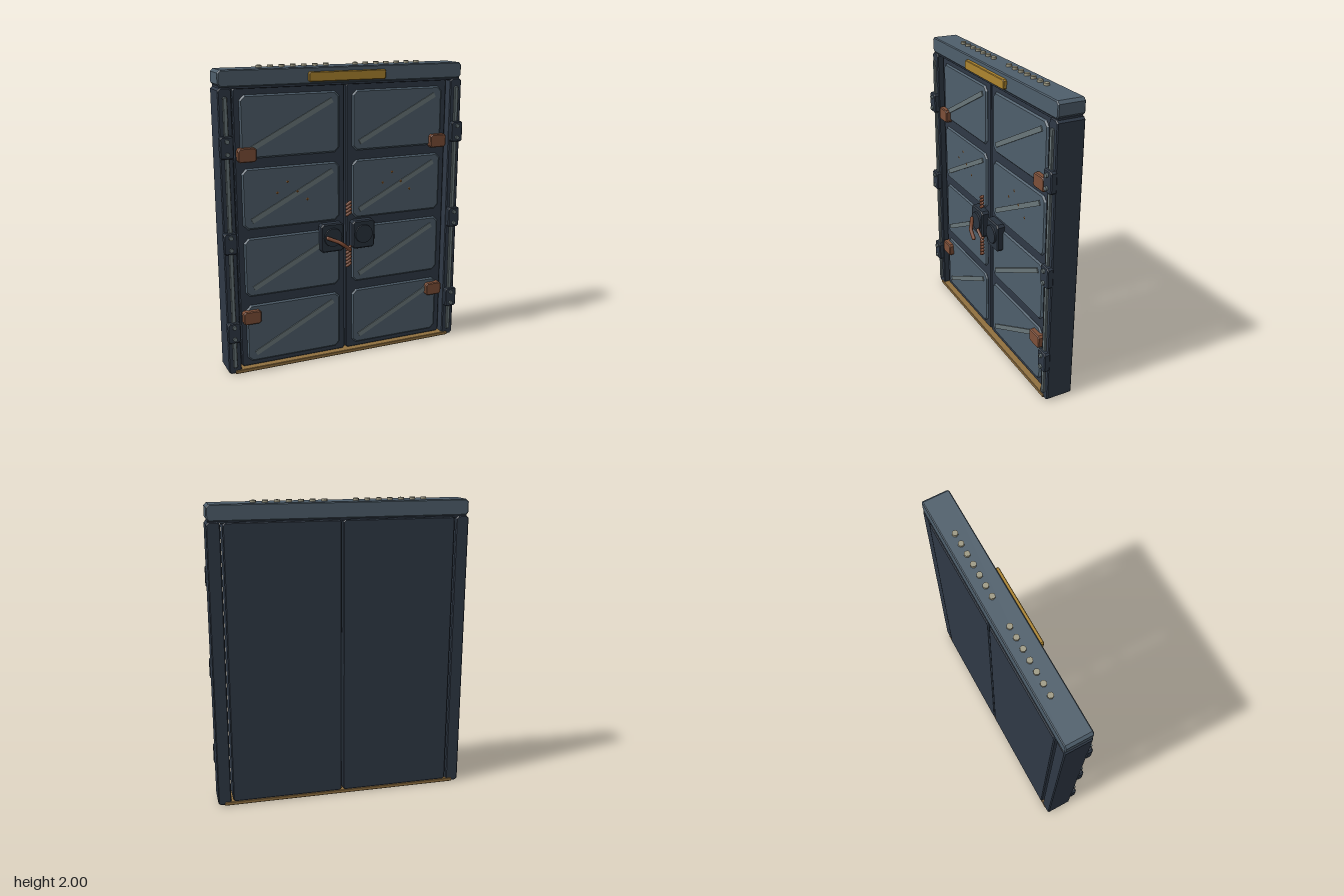
import * as THREE from 'three';

const mat = (name, color) => {
  const m = new THREE.MeshStandardMaterial({ color });
  m.name = name;
  return m;
};

// Rectangle outline with cut corners, centred on the origin
function cutRect(w, h, c) {
  const x = w / 2, y = h / 2;
  return new THREE.Shape([
    [-x + c, -y], [x - c, -y], [x, -y + c], [x, y - c],
    [x - c, y], [-x + c, y], [-x, y - c], [-x, -y + c],
  ].map(([a, b]) => new THREE.Vector2(a, b)));
}

// Chamfered slab given by its extents on each axis
function slab(name, material, [x0, x1], [y0, y1], [z0, z1], cut = 0.012, bevel = 0.006) {
  const w = x1 - x0, h = y1 - y0, d = z1 - z0;
  const geo = new THREE.ExtrudeGeometry(cutRect(w - 2 * bevel, h - 2 * bevel, cut), {
    depth: d - 2 * bevel, bevelEnabled: true, bevelSegments: 1,
    bevelSize: bevel, bevelThickness: bevel,
  });
  geo.translate((x0 + x1) / 2, (y0 + y1) / 2, z0 + bevel);
  const mesh = new THREE.Mesh(geo, material);
  mesh.name = name;
  return mesh;
}

export function createModel() {
  const model = new THREE.Group();
  model.name = 'armouredDoor';

  const frame = mat('dark slate', 0x2f3946);
  const panelBlue = mat('panel blue grey', 0x4e5e6b);
  const steel = mat('worn steel', 0x697679);
  const lockDark = mat('lock charcoal', 0x29323d);
  const boltTan = mat('pale bolt', 0x9e9a84);
  const gold = mat('sign gold', 0xad852f);
  const rust = mat('rust', 0x7d4f38);
  const ironRed = mat('chain rust', 0x74432d);
  const sillTan = mat('sill brown', 0x91703f);
  const fleck = mat('fleck orange', 0x92602f);

  // Header beam with its plate
  model.add(slab('header', panelBlue, [-0.845, 0.845], [1.882, 1.985], [-0.138, 0.038], 0.014, 0.006));
  model.add(slab('headerSeat', frame, [-0.835, 0.835], [1.868, 1.89], [-0.13, 0.03], 0.002, 0.002));
  model.add(slab('headerPlate', gold, [-0.267, 0.265], [1.896, 1.957], [0.03, 0.062], 0.006, 0.004));

  // Two rows of bolts along the header top
  const boltGeo = new THREE.CylinderGeometry(0.019, 0.019, 0.025, 8);
  for (const start of [-0.555, 0.1]) {
    for (let i = 0; i < 7; i++) {
      const bolt = new THREE.Mesh(boltGeo, boltTan);
      bolt.name = 'headerBolt';
      bolt.position.set(start + i * 0.075, 1.9875, -0.065);
      model.add(bolt);
    }
  }

  // Threshold
  model.add(slab('sill', sillTan, [-0.805, 0.805], [0, 0.025], [-0.142, 0.046], 0.002, 0.003));

  const rows = [0.257, 0.715, 1.17, 1.63];
  const rivetGeo = new THREE.CylinderGeometry(0.014, 0.014, 0.02, 8).rotateX(Math.PI / 2);
  const discGeo = new THREE.CylinderGeometry(0.062, 0.065, 0.018, 24).rotateX(Math.PI / 2);
  const fleckGeo = new THREE.OctahedronGeometry(0.011).scale(1, 1, 0.35);

  for (const s of [-1, 1]) {
    const span = (a, b) => (s > 0 ? [a, b] : [-b, -a]);
    const side = new THREE.Group();
    side.name = s > 0 ? 'leftSide' : 'rightSide';
    model.add(side);

    // Jamb with a steel runner
    side.add(slab('jamb', frame, span(0.762, 0.848), [0.004, 1.878], [-0.139, 0.041], 0.012, 0.006));
    side.add(slab('jambRunner', steel, span(0.793, 0.819), [0.05, 1.825], [0.035, 0.055], 0.003, 0.003));

    // Hinges, each with two rivets
    for (const y of [0.303, 0.908, 1.518]) {
      side.add(slab('hinge', frame, span(0.766, 0.853), [y - 0.07, y + 0.07], [0.03, 0.071], 0.008, 0.006));
      for (const dy of [-0.04, 0.04]) {
        const rivet = new THREE.Mesh(rivetGeo, steel);
        rivet.name = 'hingeRivet';
        rivet.position.set(s * 0.809, y + dy, 0.074);
        side.add(rivet);
      }
    }

    // Door leaf, recessed behind the jamb front
    side.add(slab('doorLeaf', frame, span(0.005, 0.749), [0.026, 1.874], [-0.146, 0.006], 0.01, 0.006));

    // Raised panels with diagonal scuff strips
    for (const y of rows) {
      side.add(slab('doorPanel', panelBlue, span(0.046, 0.71), [y - 0.199, y + 0.199], [-0.002, 0.018], 0.025, 0.01));
      const strip = new THREE.Mesh(new THREE.BoxGeometry(0.625, 0.032, 0.009), steel);
      strip.name = 'panelStrip';
      strip.position.set(s * 0.375, y, 0.0205);
      strip.rotation.z = 0.475;
      side.add(strip);
    }

    // Rusty corner brackets
    for (const y of [0.38, 1.46]) {
      side.add(slab('rustBracket', rust, span(0.617, 0.737), [y - 0.045, y + 0.045], [0, 0.05], 0.01, 0.006));
    }

    // Lock plate and disc
    side.add(slab('lockPlate', lockDark, span(0.031, 0.196), [0.765, 0.96], [0, 0.06], 0.012, 0.008));
    const disc = new THREE.Mesh(discGeo, lockDark);
    disc.name = 'lockDisc';
    disc.position.set(s * 0.112, 0.867, 0.062);
    side.add(disc);

    // Rust flecks
    for (const [x, y] of [[-0.105, 1.198], [-0.035, 1.265], [0.03, 1.197], [0.1, 1.137]]) {
      const f = new THREE.Mesh(fleckGeo, fleck);
      f.name = 'rustFleck';
      f.position.set(s * 0.375 + x, y, y < 1.2 && x > 0 && x < 0.05 ? 0.026 : 0.02);
      side.add(f);
    }
  }

  // Broken chain: two runs of slanted links over the centre gap
  const linkGeo = new THREE.CapsuleGeometry(0.011, 0.028, 3, 8);
  for (const [y0, n] of [[0.667, 6], [1.023, 4]]) {
    for (let i = 0; i < n; i++) {
      const link = new THREE.Mesh(linkGeo, ironRed);
      link.name = 'chainLink';
      link.position.set(-0.005, y0 + i * 0.0235, 0.074);
      link.rotation.z = -1.0;
      model.add(link);
    }
  }

  // Bent pull rod
  const bend = new THREE.CurvePath();
  const pts = [[-0.155, 0.87, 0.078], [-0.09, 0.845, 0.115], [-0.065, 0.828, 0.128], [-0.02, 0.79, 0.13]]
    .map((p) => new THREE.Vector3(...p));
  bend.add(new THREE.LineCurve3(pts[0], pts[1]));
  bend.add(new THREE.QuadraticBezierCurve3(pts[1], new THREE.Vector3(-0.077, 0.838, 0.126), pts[2]));
  bend.add(new THREE.LineCurve3(pts[2], pts[3]));
  const rod = new THREE.Mesh(new THREE.TubeGeometry(bend, 16, 0.013, 8), ironRed);
  rod.name = 'pullRod';
  model.add(rod);
  for (const p of [pts[0], pts[3]]) {
    const end = new THREE.Mesh(new THREE.SphereGeometry(0.013, 8, 6), ironRed);
    end.name = 'pullRodEnd';
    end.position.copy(p);
    model.add(end);
  }
  // Lower arm of the rod reaching the chain
  const arm = new THREE.Mesh(new THREE.TubeGeometry(
    new THREE.LineCurve3(new THREE.Vector3(-0.07, 0.825, 0.076), new THREE.Vector3(0.01, 0.77, 0.076)), 1, 0.011, 8), ironRed);
  arm.name = 'chainTail';
  model.add(arm);

  return model;
}
